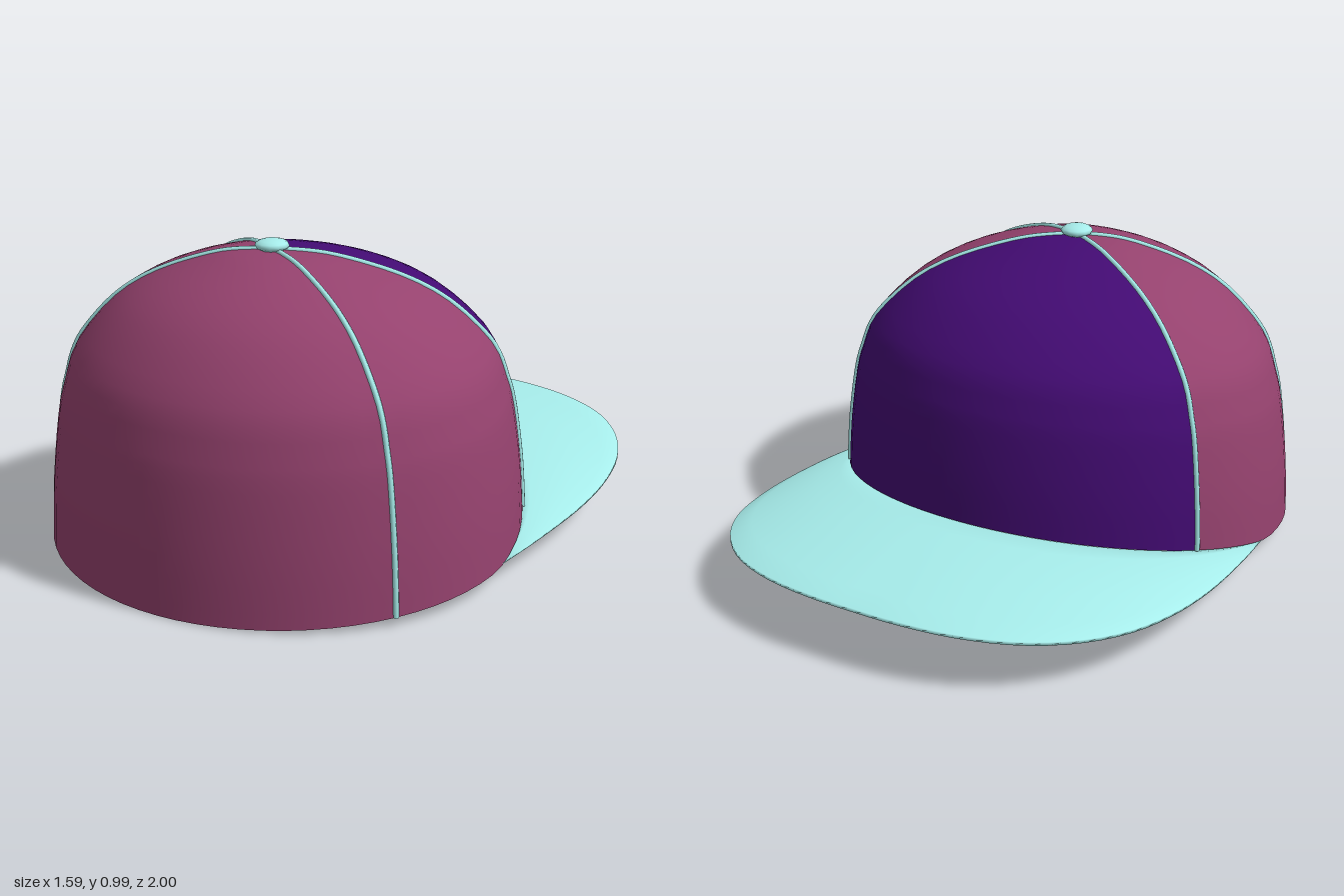
import * as THREE from 'three';

const MAUVE = 0x95426e, PURPLE = 0x430b73, TEAL = 0xa6ecea;
const RX = 0.775, RZ = 0.71, BASE_Z = 0.285, TOP_Z = 0.34, TOP_Y = 0.955;
const rad = THREE.MathUtils.degToRad;

// Crown profile: x = share of base radius, y = share of height
const profile = new THREE.SplineCurve([
  [1, 0], [0.985, 0.2], [0.952, 0.42], [0.92, 0.53], [0.86, 0.66], [0.69, 0.815],
  [0.5, 0.91], [0.27, 0.975], [0.13, 0.995], [0, 1],
].map(([r, h]) => new THREE.Vector2(r, h)));

// Height of the crown's lower rim, which climbs toward the brim
const rimY = (z) => (z > 0.24 ? (1 - z) * 0.075 : 0.057 + (0.24 - z) * 0.245);

// Point on the crown at angle a (0 = +x, 90 degrees = +z) and profile share t
function crownPoint(a, t) {
  const p = profile.getPoint(t);
  const z0 = BASE_Z + RZ * Math.sin(a);
  const y0 = Math.max(0, rimY(z0));
  return new THREE.Vector3(
    RX * Math.cos(a) * p.x,
    y0 + (TOP_Y - y0) * p.y,
    TOP_Z + (z0 - TOP_Z) * p.x,
  );
}

// Surface from a function of grid indices; optionally closed across the second index
function gridGeometry(nu, nv, point, closed = false) {
  const pos = [], index = [];
  const rows = closed ? nv : nv + 1;
  for (let i = 0; i <= nu; i++) {
    for (let j = 0; j < rows; j++) pos.push(...point(i, j).toArray());
  }
  for (let i = 0; i < nu; i++) {
    for (let j = 0; j < nv; j++) {
      const k = (j + 1) % rows;
      const a = i * rows + j, b = i * rows + k;
      const c = (i + 1) * rows + j, d = (i + 1) * rows + k;
      index.push(a, b, c, b, d, c);
    }
  }
  const g = new THREE.BufferGeometry();
  g.setAttribute('position', new THREE.Float32BufferAttribute(pos, 3));
  g.setIndex(index);
  g.computeVertexNormals();
  return g;
}

function brimGeometry() {
  // Outer edge of the upper face, right half mirrored to the left
  const half = [
    [0.77, 0.065, 0.24], [0.79, 0.09, 0], [0.792, 0.11, -0.25], [0.77, 0.128, -0.45],
    [0.72, 0.147, -0.63], [0.63, 0.165, -0.78], [0.5, 0.18, -0.895], [0.33, 0.19, -0.967],
    [0.15, 0.195, -0.997],
  ];
  const mirrored = half.slice().reverse().map(([x, y, z]) => [-x, y, z]);
  const outer = new THREE.CatmullRomCurve3(
    [...half, [0, 0.195, -1], ...mirrored].map((p) => new THREE.Vector3(...p)),
  );
  // Loop across the brim: upper face outward, then lower face back inward
  const steps = [0, 0.15, 0.35, 0.6, 0.85, 1];
  const loop = [...steps.map((v) => [v, 0]), ...steps.slice().reverse().map((v) => [v, 1])];
  const nu = 64;
  return gridGeometry(nu, loop.length, (i, j) => {
    const u = i / nu, [v, under] = loop[j];
    const a = rad(-3.6 - 172.8 * u);
    const swell = Math.sin(Math.PI * u);
    const inner = new THREE.Vector3(
      RX * 0.985 * Math.cos(a), 0, BASE_Z + RZ * 0.985 * Math.sin(a));
    inner.y = rimY(inner.z) - 0.004;
    const p = inner.lerp(outer.getPointAt(u), v);
    p.y += 0.018 * Math.sin(Math.PI * v) * swell;
    p.y -= under * Math.sqrt(Math.max(0, swell)) * (0.03 - 0.018 * v);
    return p;
  }, true);
}

export function createModel() {
  const model = new THREE.Group();
  const add = (name, geometry, color, side = THREE.FrontSide) => {
    const mesh = new THREE.Mesh(geometry, new THREE.MeshStandardMaterial({ color, side }));
    mesh.name = name;
    model.add(mesh);
    return mesh;
  };

  // Crown panels
  const panels = [
    ['leftPanel', -30.2, 30.2, MAUVE],
    ['plainPanel', 30.2, 149.8, MAUVE],
    ['rightPanel', 149.8, 210.2, MAUVE],
    ['brimSidePanel', 210.2, 329.8, PURPLE],
  ];
  for (const [name, from, to, color] of panels) {
    const nu = Math.round((to - from) / 5), nv = 27;
    add(name, gridGeometry(nu, nv, (i, j) =>
      crownPoint(rad(from + (to - from) * i / nu), j / nv)), color, THREE.DoubleSide);
  }

  // Piping along the four seams
  for (const angle of [30.2, 149.8, 210.2, 329.8]) {
    const points = Array.from({ length: 19 }, (_, i) => crownPoint(rad(angle), i / 18));
    add('seam', new THREE.TubeGeometry(
      new THREE.CatmullRomCurve3(points), 48, 0.009, 8), TEAL, THREE.DoubleSide);
  }

  // Brim
  add('brim', brimGeometry(), TEAL, THREE.DoubleSide);

  // Top button
  const button = add('button', new THREE.SphereGeometry(0.054, 12, 8), TEAL);
  button.scale.y = 0.38;
  button.position.set(0, 0.968, TOP_Z);

  return model;
}
